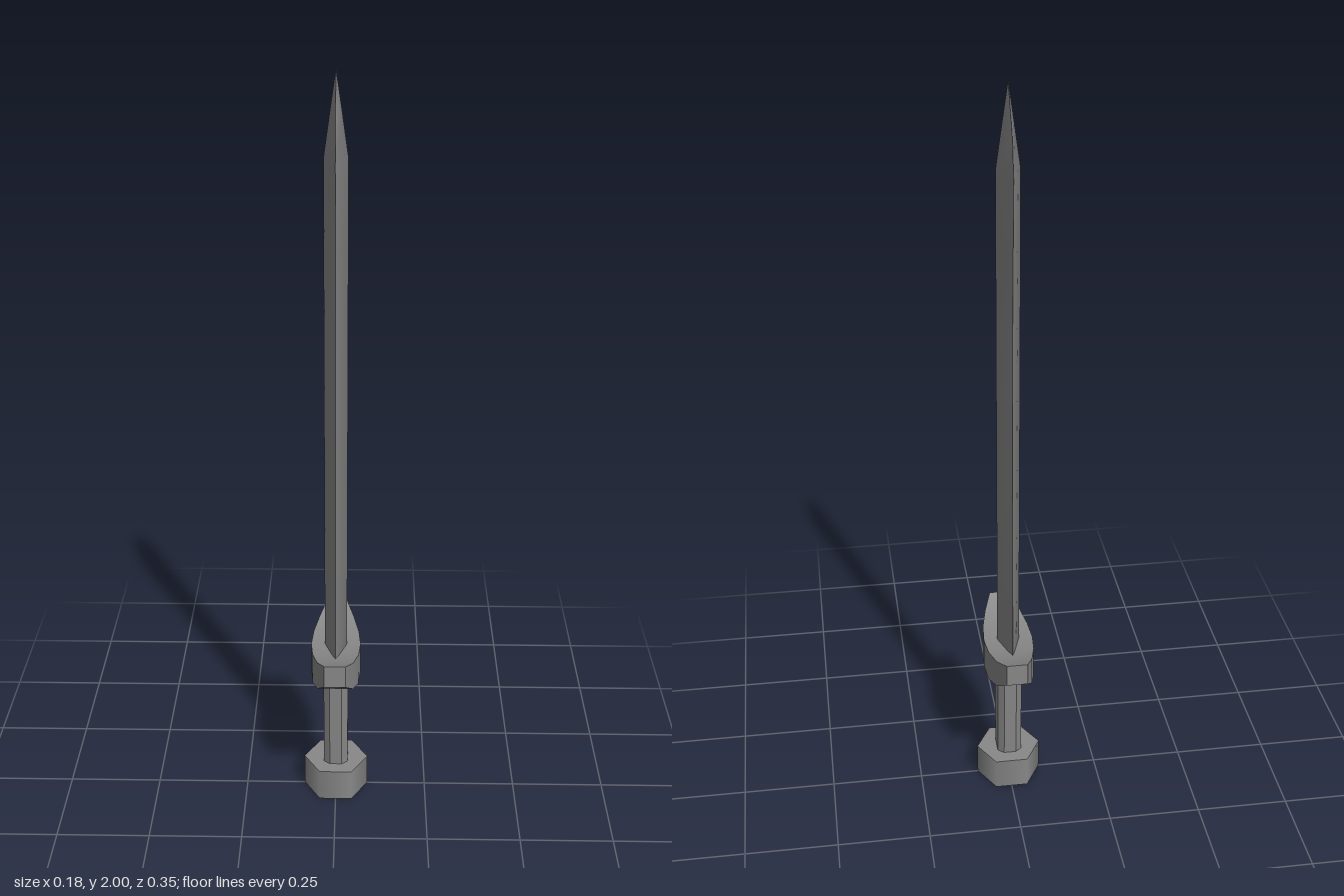
import * as THREE from 'three';
import { toCreasedNormals } from 'three/addons/utils/BufferGeometryUtils.js';

// Skins a list of equal-length closed rings and caps both ends.
function loft(rings, crease) {
  const n = rings[0].length, last = (rings.length - 1) * n, index = [];
  for (let r = 0; r < rings.length - 1; r++) {
    for (let j = 0; j < n; j++) {
      const a = r * n + j, b = r * n + (j + 1) % n;
      index.push(a, a + n, b, b, a + n, b + n);
    }
  }
  for (let j = 1; j < n - 1; j++) {
    index.push(0, j, j + 1, last, last + j + 1, last + j);
  }
  const geo = new THREE.BufferGeometry();
  geo.setAttribute('position', new THREE.Float32BufferAttribute(rings.flat(2), 3));
  geo.setIndex(index);
  return toCreasedNormals(geo, crease);
}

export function createModel() {
  const model = new THREE.Group();
  const material = new THREE.MeshStandardMaterial({ color: 0x888888 });
  const add = (name, geometry) => {
    const mesh = new THREE.Mesh(geometry, material);
    mesh.name = name;
    model.add(mesh);
    return mesh;
  };

  // Blade: diamond section with soft ridges and sharp edges, waisted in the middle
  const blade = [ // y, half thickness, half width
    [0.43, 0.03, 0.094], [0.6, 0.03, 0.089], [0.8, 0.03, 0.082], [1.0, 0.03, 0.077],
    [1.2, 0.03, 0.076], [1.4, 0.03, 0.079], [1.6, 0.03, 0.085], [1.8, 0.029, 0.093],
    [1.9, 0.015, 0.066], [2.0, 0.0005, 0.0005],
  ];
  add('blade', loft(blade.map(([y, t, w]) => [[t, y, 0], [0, y, w], [-t, y, 0], [0, y, -w]]), 1.1));

  // Crossguard: tapered bar with upswept ends, mirrored about z = 0
  const half = [ // z, half thickness, bottom, top
    [0.175, 0.028, 0.43, 0.493], [0.12, 0.048, 0.39, 0.471], [0.06, 0.062, 0.37, 0.46],
  ];
  const guard = [
    ...half.map(([z, ...rest]) => [-z, ...rest]),
    [0, 0.067, 0.37, 0.457],
    ...half.slice().reverse(),
  ];
  add('crossguard', loft(guard.map(([z, t, lo, hi]) =>
    [[t, hi, z], [t, lo, z], [-t, lo, z], [-t, hi, z]]), 0.5));

  // Grip: chamfered section, widening towards the guard
  const gripRing = (y, x, z) => [
    [x, y, -z * 0.65], [x, y, z * 0.65], [x * 0.5, y, z], [-x * 0.5, y, z],
    [-x, y, z * 0.65], [-x, y, -z * 0.65], [-x * 0.5, y, -z], [x * 0.5, y, -z],
  ];
  add('grip', loft([gripRing(0.08, 0.033, 0.038), gripRing(0.39, 0.033, 0.054)], 0.5));

  // Pommel: hexagonal block with softly shaded sides
  const pommel = new THREE.CylinderGeometry(0.088, 0.088, 0.09, 6, 1, false, Math.PI / 2);
  add('pommel', pommel).position.y = 0.045;

  return model;
}
